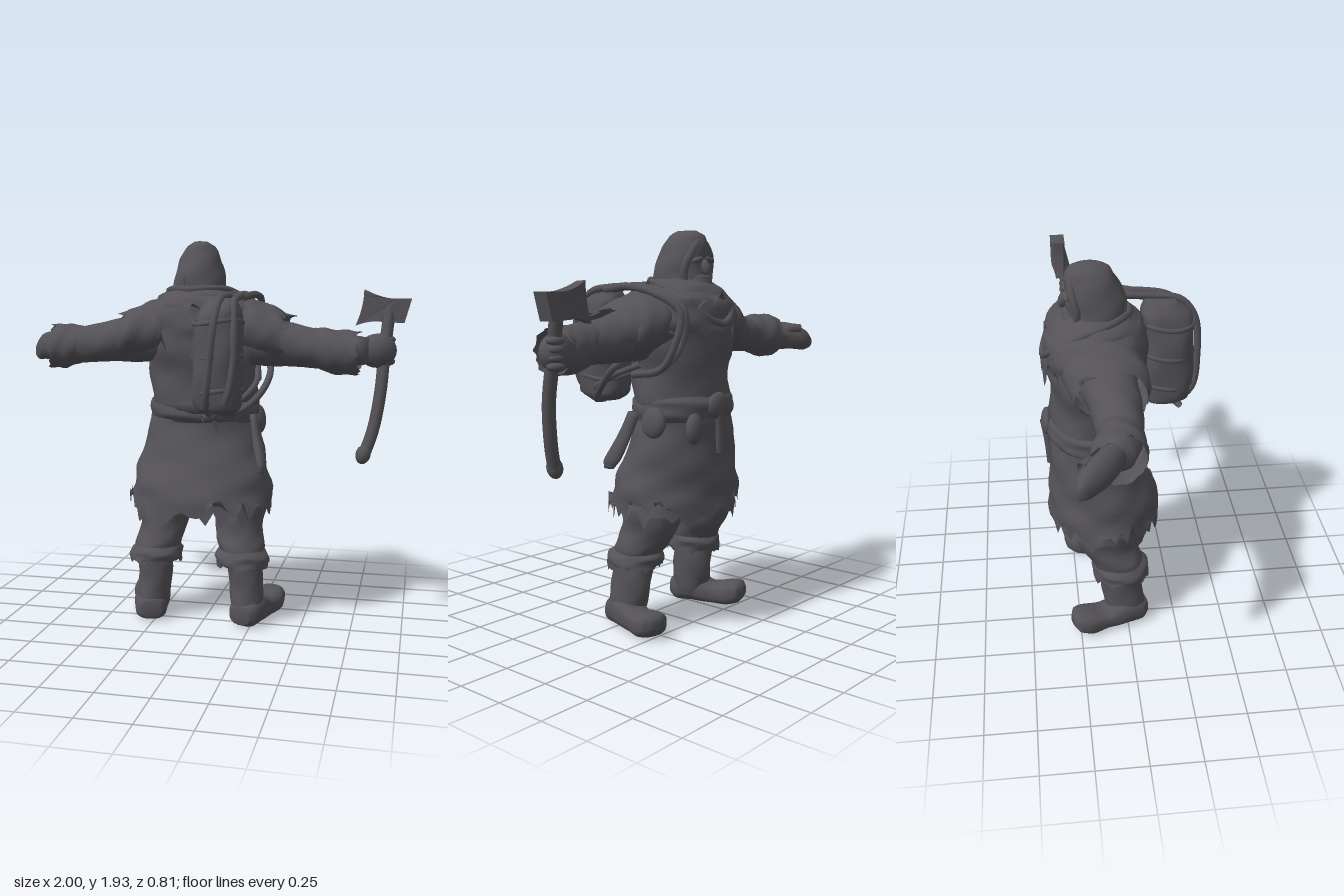
import * as THREE from 'three';

const charcoal = new THREE.MeshStandardMaterial({ color: 0x545257, side: THREE.DoubleSide });
charcoal.name = 'charcoal';

const noise = (i, k = 0) => {
  const s = Math.sin(i * 12.9898 + k * 78.233) * 43758.5453;
  return s - Math.floor(s);
};
const V = (p) => new THREE.Vector3(...p);

function add(parent, name, geometry, pos = [0, 0, 0], rot = [0, 0, 0], scale = [1, 1, 1]) {
  const m = new THREE.Mesh(geometry, charcoal);
  m.name = name;
  m.position.set(...pos);
  m.rotation.set(...rot);
  m.scale.set(...scale);
  parent.add(m);
  return m;
}

// Smooth skin through rings [cx, cy, cz, ru, rv] stacked along one axis.
// x axis: ru is height, rv is depth. y axis: width, depth. z axis: width, height.
function loft(rings, axis = 'y', { seg = 28, steps = 4, wrinkle = 0.025, jag = 0, seed = 1, square = 1, caps = true } = {}) {
  const centre = new THREE.CatmullRomCurve3(rings.map((r) => V(r.slice(0, 3))));
  const radius = new THREE.CatmullRomCurve3(rings.map((r) => V([r[3], r[4], 0])));
  const n = (rings.length - 1) * steps, pos = [], idx = [];
  const bend = (v) => Math.sign(v) * Math.abs(v) ** square;
  for (let j = 0; j <= n; j++) {
    const c = centre.getPoint(j / n), r = radius.getPoint(j / n);
    for (let i = 0; i < seg; i++) {
      const a = (i / seg) * Math.PI * 2;
      const w = 1 + wrinkle * (Math.sin(a * 3 + j * 0.9 + seed) + Math.sin(a * 5 - j * 1.3 + seed * 2) * 0.7);
      const u = bend(Math.cos(a)) * r.x * w, v = bend(Math.sin(a)) * r.y * w;
      // ragged hem on the last ring
      const rag = j === n ? jag * (noise(i, seed) + 0.25 * Math.sin(a * 4 + seed) - 0.5) : 0;
      if (axis === 'y') pos.push(c.x + u, c.y + rag, c.z + v);
      else if (axis === 'x') pos.push(c.x + rag, c.y + u, c.z - v);
      else pos.push(c.x + u, c.y + v, c.z + rag);
    }
  }
  for (let j = 0; j < n; j++) for (let i = 0; i < seg; i++) {
    const a = j * seg + i, b = j * seg + (i + 1) % seg;
    idx.push(a, a + seg, b, b, a + seg, b + seg);
  }
  if (caps) [0, n].forEach((j) => {
    const k = pos.length / 3;
    pos.push(...centre.getPoint(j / n).toArray());
    for (let i = 0; i < seg; i++) {
      const a = j * seg + i, b = j * seg + (i + 1) % seg;
      if (j) idx.push(a, k, b); else idx.push(a, b, k);
    }
  });
  // turn faces outward whichever way the rings run
  let volume = 0;
  for (let i = 0; i < idx.length; i += 3) {
    const [a, b, c] = [0, 1, 2].map((k) => V(pos.slice(idx[i + k] * 3, idx[i + k] * 3 + 3)).sub(V(rings[0].slice(0, 3))));
    volume += a.dot(b.cross(c));
  }
  if (volume < 0) idx.reverse();
  const g = new THREE.BufferGeometry();
  g.setAttribute('position', new THREE.Float32BufferAttribute(pos, 3));
  g.setIndex(idx);
  g.computeVertexNormals();
  return g;
}

const cord = (points, r, closed = false) =>
  new THREE.TubeGeometry(new THREE.CatmullRomCurve3(points.map(V), closed), 40, r, 7, closed);
const ball = (w = 16, h = 12) => new THREE.SphereGeometry(1, w, h);

export function createModel() {
  const model = new THREE.Group();
  model.name = 'hoodedTraveller';

  // Tunic and layered ragged skirt
  add(model, 'tunic', loft([
    [-0.04, 1.66, -0.1, 0.14, 0.13], [-0.03, 1.55, -0.13, 0.28, 0.215], [-0.035, 1.4, -0.135, 0.295, 0.225],
    [-0.03, 1.25, -0.14, 0.275, 0.205], [-0.03, 1.08, -0.15, 0.275, 0.21]]));
  add(model, 'skirt', loft([
    [-0.03, 1.12, -0.155, 0.265, 0.2], [-0.035, 1.0, -0.155, 0.285, 0.205], [-0.035, 0.85, -0.135, 0.325, 0.23],
    [-0.035, 0.72, -0.11, 0.355, 0.265], [-0.035, 0.61, -0.1, 0.375, 0.285]],
  'y', { seg: 60, jag: 0.12, seed: 3, caps: false, wrinkle: 0.018 }));
  add(model, 'underSkirt', loft([
    [-0.03, 0.9, -0.13, 0.28, 0.19], [-0.035, 0.72, -0.105, 0.33, 0.24], [-0.035, 0.575, -0.1, 0.355, 0.27]],
  'y', { seg: 56, jag: 0.09, seed: 7, caps: false, wrinkle: 0.015 }));
  add(model, 'belt', loft([
    [-0.03, 1.15, -0.15, 0.265, 0.2], [-0.03, 1.12, -0.155, 0.283, 0.22], [-0.03, 1.07, -0.155, 0.285, 0.222],
    [-0.03, 1.03, -0.155, 0.275, 0.2]], 'y', { wrinkle: 0.012 }));
  add(model, 'buckle', ball(), [-0.03, 1.1, -0.37], [0, 0, 0], [0.075, 0.065, 0.03]);
  add(model, 'beltPouch', ball(), [0.245, 1.03, -0.2], [0, 0, 0.1], [0.035, 0.075, 0.07]);
  add(model, 'frontPouch', ball(), [0.12, 1.0, -0.345], [0, 0, 0], [0.05, 0.075, 0.035]);
  add(model, 'beltEnd', cord([[-0.02, 1.1, -0.385], [-0.04, 1.0, -0.37], [-0.05, 0.87, -0.36]], 0.022));
  add(model, 'sheath', loft([
    [0.24, 1.07, -0.07, 0.02, 0.035], [0.265, 0.95, -0.03, 0.025, 0.04], [0.295, 0.84, 0.02, 0.025, 0.05],
    [0.3, 0.79, 0.04, 0.012, 0.03]], 'y', { seg: 12 }));

  // Shoulder mantle, collar, torn caps over the upper arms and fur tufts
  add(model, 'mantle', loft([
    [-0.04, 1.68, -0.1, 0.11, 0.12], [-0.025, 1.65, -0.11, 0.23, 0.19], [-0.025, 1.6, -0.125, 0.31, 0.23],
    [-0.02, 1.51, -0.13, 0.335, 0.248], [-0.025, 1.43, -0.13, 0.33, 0.25]],
  'y', { seg: 56, jag: 0.14, seed: 5, caps: false, wrinkle: 0.02 }));
  add(model, 'collar', loft([
    [-0.05, 1.7, -0.12, 0.13, 0.14], [-0.04, 1.66, -0.12, 0.21, 0.19], [-0.03, 1.59, -0.13, 0.28, 0.24]],
  'y', { seg: 40, jag: 0.09, seed: 9, caps: false, wrinkle: 0.03 }));
  [[-1, -0.03], [1, 0]].forEach(([s, dx]) => add(model, 'shoulderCap', loft([
    [s * 0.14 + dx, 1.51, -0.11, 0.14, 0.18], [s * 0.24 + dx, 1.495, -0.105, 0.145, 0.19],
    [s * 0.33 + dx, 1.475, -0.095, 0.135, 0.185], [s * 0.41 + dx, 1.45, -0.085, 0.118, 0.16]],
  'x', { seg: 36, jag: 0.06, seed: s + 12, caps: false, wrinkle: 0.025 })));
  for (let i = 0; i < 26; i++) {
    const a = i * 2.4, r = 0.55 + 0.45 * noise(i, 8);
    add(model, 'furTuft', new THREE.ConeGeometry(0.028, 0.08, 4),
      [-0.02 + Math.cos(a) * 0.34 * r, 1.67 - 0.13 * r * r, -0.12 + Math.sin(a) * 0.2 * r],
      [Math.sin(a) * 1.7, 0, -Math.cos(a) * 1.8]);
  }

  // Hooded head with face, nose and beard looking toward -z
  const head = new THREE.Group();
  head.name = 'head';
  model.add(head);
  add(head, 'hood', loft([
    [-0.05, 1.6, -0.11, 0.15, 0.15], [-0.05, 1.68, -0.12, 0.135, 0.145], [-0.05, 1.76, -0.125, 0.125, 0.14],
    [-0.05, 1.85, -0.145, 0.1, 0.12], [-0.05, 1.905, -0.155, 0.068, 0.095], [-0.05, 1.928, -0.155, 0.03, 0.055]],
  'y', { wrinkle: 0.018 }));
  add(head, 'hoodRim', cord([
    [-0.05, 1.88, -0.24], [0.025, 1.81, -0.235], [0.045, 1.72, -0.215], [0.01, 1.63, -0.23],
    [-0.05, 1.61, -0.25], [-0.11, 1.63, -0.23], [-0.145, 1.72, -0.215], [-0.125, 1.81, -0.235]], 0.02, true));
  add(head, 'nose', ball(10, 8), [-0.05, 1.755, -0.27], [0.35, 0, 0], [0.022, 0.04, 0.025]);
  add(head, 'beard', loft([
    [-0.05, 1.72, -0.235, 0.06, 0.035], [-0.05, 1.66, -0.25, 0.075, 0.045], [-0.05, 1.56, -0.3, 0.06, 0.05],
    [-0.05, 1.48, -0.34, 0.02, 0.03]], 'y', { seg: 16 }));
  [-1, 1].forEach((s) => add(head, 'brow', ball(10, 8), [-0.05 + s * 0.042, 1.79, -0.257], [0, 0, -s * 0.25], [0.038, 0.014, 0.018]));
  add(head, 'hoodFold', new THREE.ConeGeometry(0.045, 0.13, 5), [-0.1, 1.7, 0.0], [0.15, 0, 0], [1, 1, 0.6]);

  // Arms, sleeves and torn cuffs
  add(model, 'rightSleeve', loft([
    [-0.22, 1.46, -0.1, 0.14, 0.15], [-0.42, 1.44, -0.08, 0.115, 0.12], [-0.56, 1.42, -0.07, 0.1, 0.11],
    [-0.7, 1.405, -0.075, 0.09, 0.095], [-0.82, 1.4, -0.1, 0.065, 0.075]], 'x', { wrinkle: 0.025 }));
  add(model, 'rightCuff', loft([
    [-0.64, 1.415, -0.07, 0.088, 0.095], [-0.71, 1.405, -0.08, 0.105, 0.11], [-0.77, 1.4, -0.09, 0.115, 0.12],
    [-0.825, 1.395, -0.095, 0.113, 0.122]], 'x', { jag: 0.045, seed: 4, caps: false }));
  add(model, 'leftSleeve', loft([
    [0.2, 1.45, -0.1, 0.14, 0.15], [0.36, 1.43, -0.07, 0.115, 0.125], [0.5, 1.41, -0.06, 0.1, 0.108],
    [0.64, 1.395, -0.06, 0.088, 0.1], [0.8, 1.39, -0.12, 0.065, 0.065]], 'x', { wrinkle: 0.025 }));
  add(model, 'leftCuff', loft([
    [0.54, 1.41, -0.06, 0.095, 0.1], [0.61, 1.395, -0.06, 0.107, 0.117], [0.69, 1.385, -0.065, 0.11, 0.125],
    [0.75, 1.385, -0.07, 0.105, 0.128]], 'x', { jag: 0.04, seed: 6, caps: false }));
  add(model, 'rightHand', loft([
    [-0.79, 1.4, -0.11, 0.065, 0.065], [-0.86, 1.395, -0.155, 0.075, 0.07], [-0.92, 1.39, -0.2, 0.07, 0.072],
    [-0.97, 1.37, -0.24, 0.055, 0.045], [-0.998, 1.36, -0.262, 0.03, 0.018]], 'x', { seg: 16, wrinkle: 0.01 }));
  add(model, 'rightThumb', cord([[-0.86, 1.42, -0.18], [-0.88, 1.435, -0.22], [-0.92, 1.435, -0.255]], 0.024));
  add(model, 'leftHand', ball(), [0.84, 1.39, -0.175], [0, 0.5, 0], [0.1, 0.085, 0.07]);
  for (let i = 0; i < 4; i++)
    add(model, 'leftFinger', ball(10, 8), [0.88, 1.335 + i * 0.036, -0.215], [0, 0.4, 0], [0.05, 0.023, 0.04]);

  // Axe with curved handle and flared head
  const axe = new THREE.Group();
  axe.name = 'axe';
  model.add(axe);
  add(axe, 'axeHandle', cord([[0.785, 0.86, -0.1], [0.83, 1.0, -0.125], [0.86, 1.18, -0.15], [0.875, 1.4, -0.2], [0.895, 1.62, -0.25]], 0.031));
  add(axe, 'handleKnob', ball(), [0.787, 0.88, -0.1], [0, 0, -0.25], [0.037, 0.05, 0.037]);
  const blade = new THREE.Shape();
  blade.moveTo(0.765, 1.69);
  blade.quadraticCurveTo(0.86, 1.64, 0.93, 1.645);
  blade.lineTo(0.998, 1.645);
  blade.lineTo(0.965, 1.525);
  blade.lineTo(0.86, 1.53);
  blade.quadraticCurveTo(0.8, 1.54, 0.725, 1.51);
  blade.quadraticCurveTo(0.765, 1.6, 0.765, 1.69);
  const bladeGeo = new THREE.ExtrudeGeometry(blade, { depth: 0.075, bevelEnabled: false, curveSegments: 6 });
  const bp = bladeGeo.attributes.position;
  for (let i = 0; i < bp.count; i++) // thin the head toward its cutting edge
    bp.setZ(i, (bp.getZ(i) - 0.0375) * THREE.MathUtils.clamp((bp.getX(i) - 0.6) / 0.25, 0.55, 1));
  bladeGeo.computeVertexNormals();
  add(axe, 'axeHead', bladeGeo, [0, 0, -0.255]);

  // Legs: baggy trousers, fur cuffs, shafts and boots turned outward
  [[-1, -0.235, -0.285], [1, 0.165, 0.235]].forEach(([s, hip, foot]) => {
    const leg = new THREE.Group();
    leg.name = s < 0 ? 'rightLeg' : 'leftLeg';
    model.add(leg);
    add(leg, 'trouser', loft([
      [hip + s * -0.02, 0.8, -0.13, 0.14, 0.15], [hip, 0.6, -0.125, 0.132, 0.155], [hip, 0.48, -0.1, 0.12, 0.145],
      [hip + s * 0.02, 0.39, -0.05, 0.118, 0.13], [hip + s * 0.03, 0.32, -0.03, 0.09, 0.1]], 'y', { seed: s + 3, wrinkle: 0.03 }));
    add(leg, 'furCuff', loft([
      [hip + s * 0.02, 0.385, -0.04, 0.11, 0.12], [hip + s * 0.025, 0.35, -0.035, 0.135, 0.145],
      [hip + s * 0.03, 0.305, -0.03, 0.135, 0.14]], 'y', { seg: 40, jag: 0.045, seed: s + 8, caps: false }));
    add(leg, 'bootShaft', loft([
      [hip + s * 0.035, 0.33, -0.03, 0.09, 0.105], [foot - s * 0.02, 0.22, -0.028, 0.086, 0.107],
      [foot - s * 0.01, 0.1, -0.01, 0.085, 0.102], [foot - s * 0.005, 0.03, 0.0, 0.08, 0.09]]));
    const boot = add(leg, 'boot', loft([
      [0, 0.07, 0.1, 0.05, 0.045], [0, 0.07, 0.06, 0.08, 0.065], [0, 0.08, -0.03, 0.085, 0.075],
      [0, 0.06, -0.13, 0.075, 0.055], [0, 0.068, -0.22, 0.085, 0.062], [0, 0.08, -0.28, 0.07, 0.055],
      [0, 0.085, -0.305, 0.03, 0.025]], 'z', { square: 0.75, wrinkle: 0.012 }), [foot, 0, 0], [0, -s * 0.3, 0]);
    const p = boot.geometry.attributes.position;
    for (let i = 0; i < p.count; i++) p.setY(i, Math.max(0, p.getY(i) - 0.005));
  });

  // Back bundle with bands
  add(model, 'backpack', loft([
    [0.13, 1.1, 0.22, 0.07, 0.06], [0.12, 1.14, 0.23, 0.11, 0.12], [0.12, 1.28, 0.235, 0.118, 0.13],
    [0.125, 1.45, 0.235, 0.115, 0.13], [0.13, 1.58, 0.225, 0.1, 0.125], [0.135, 1.65, 0.2, 0.06, 0.07]],
  'y', { square: 0.75, wrinkle: 0.025 }));
  [1.22, 1.38, 1.54].forEach((y) => add(model, 'packBand', cord(
    Array.from({ length: 12 }, (_, i) => [0.12 + 0.115 * Math.cos(i * Math.PI / 6), y + 0.01 * Math.sin(i), 0.23 + 0.13 * Math.sin(i * Math.PI / 6)]), 0.012, true)));

  // Pack straps looping over the back and shoulder
  add(model, 'packStrap', cord([
    [0.15, 1.67, -0.08], [0.15, 1.66, 0.15], [0.14, 1.64, 0.3], [0.13, 1.55, 0.37],
    [0.11, 1.35, 0.385], [0.09, 1.18, 0.36], [0.09, 1.09, 0.27]], 0.018));
  add(model, 'outerPackStrap', cord([
    [0.21, 1.66, -0.08], [0.21, 1.66, 0.12], [0.2, 1.63, 0.26], [0.215, 1.52, 0.33],
    [0.215, 1.35, 0.345], [0.18, 1.18, 0.34], [0.1, 1.09, 0.27]], 0.018));
  add(model, 'sideStrap', cord([[0.06, 1.09, 0.3], [0.2, 1.11, 0.22], [0.29, 1.18, 0.1], [0.33, 1.28, -0.02], [0.3, 1.36, -0.14]], 0.017));
  add(model, 'lowerStrap', cord([[0.1, 1.13, 0.33], [0.22, 1.17, 0.2], [0.27, 1.24, 0.04], [0.25, 1.3, -0.12]], 0.015));
  add(model, 'looseStrapEnd', new THREE.ConeGeometry(0.02, 0.14, 5), [0.07, 1.04, 0.08], [Math.PI, 0, -0.4]);
  [0, 0.05].forEach((d) => add(model, 'shoulderStrap', cord([
    [0.16 + d, 1.65, 0.14], [0.2 + d, 1.665, -0.05], [0.2 + d, 1.63, -0.22], [0.18 + d * 0.6, 1.55, -0.33],
    [0.17 + d, 1.4, -0.31], [0.23, 1.28, -0.23], [0.26, 1.25, -0.08]], 0.018)));
  add(model, 'neckRope', cord([
    [-0.05, 1.69, 0.03], [0.1, 1.69, -0.06], [0.14, 1.63, -0.25], [0.06, 1.53, -0.35],
    [-0.06, 1.49, -0.375], [-0.16, 1.55, -0.34], [-0.22, 1.64, -0.22], [-0.18, 1.69, -0.05]], 0.018, true));

  return model;
}
